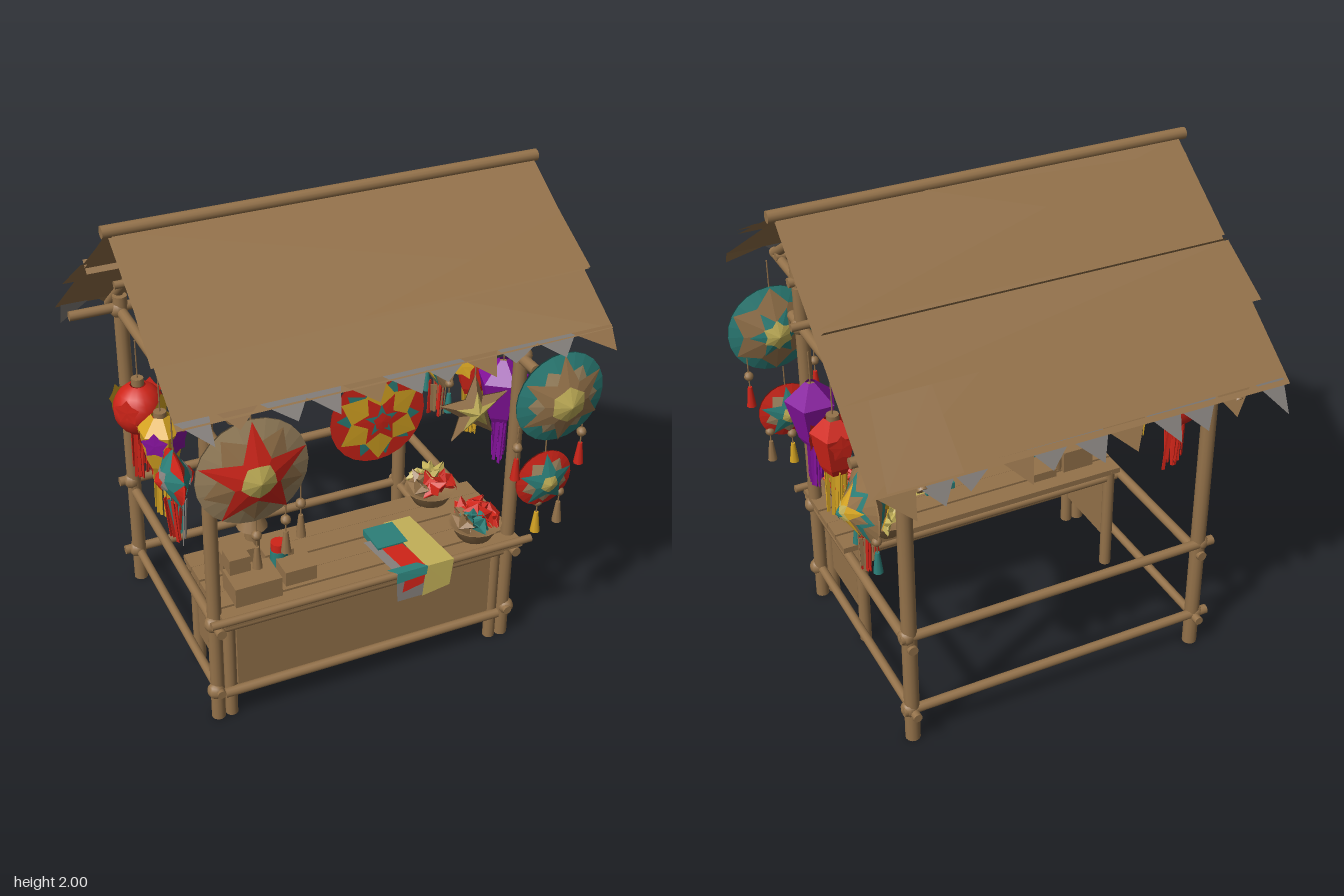
import * as THREE from 'three';

const mat = (name, color) => new THREE.MeshStandardMaterial({ name, color, side: THREE.DoubleSide });

export function createModel() {
  const M = {
    wood: mat('bamboo brown', 0x94724a), red: mat('red', 0xcf2418), teal: mat('teal', 0x2c7f78),
    gold: mat('gold', 0xd6a422), straw: mat('pale yellow', 0xc2b058), purple: mat('purple', 0x85129c),
    grey: mat('grey', 0x85807c), tan: mat('paper tan', 0x9d8560),
  };
  const root = new THREE.Group();
  root.name = 'lanternStall';
  let seed = 7;
  const rnd = () => (seed = (seed * 16807) % 2147483647) / 2147483647;
  const V = (x, y, z) => new THREE.Vector3(x, y, z);

  function add(name, geo, m, pos = [0, 0, 0], parent = root) {
    const o = new THREE.Mesh(geo, m);
    o.name = name;
    o.position.set(...pos);
    parent.add(o);
    return o;
  }
  function group(name, pos, parent = root) {
    const g = new THREE.Group();
    g.name = name;
    g.position.set(...pos);
    parent.add(g);
    return g;
  }
  function pole(name, a, b, r = 0.02, m = M.wood, parent = root) {
    const p = V(...a), q = V(...b), d = q.clone().sub(p);
    const o = add(name, new THREE.CylinderGeometry(r, r, d.length(), r < 0.01 ? 5 : 12), m, [0, 0, 0], parent);
    o.position.copy(p.add(q).multiplyScalar(0.5));
    o.quaternion.setFromUnitVectors(V(0, 1, 0), d.normalize());
    return o;
  }
  const box = (name, size, pos, m = M.wood, parent = root) => add(name, new THREE.BoxGeometry(...size), m, pos, parent);
  function facets(points) {
    const g = new THREE.BufferGeometry();
    g.setAttribute('position', new THREE.Float32BufferAttribute(points.flat(), 3));
    g.computeVertexNormals();
    return g;
  }
  // Thin sheet from corners in order
  const sheet = (name, c, m = M.wood) =>
    add(name, facets(c.length === 3 ? c : [c[0], c[1], c[2], c[0], c[2], c[3]]), m);

  // Posts, side rails, trusses and lashings
  for (const s of [-1, 1]) {
    const x = 0.63 * s;
    pole('frontPost', [x, 0, 0.42], [x, 1.5, 0.42], 0.028);
    pole('frontPostTop', [x, 1.42, 0.42], [x, 1.63, 0.45], 0.026);
    pole('backPost', [x, 0, -0.55], [x, 1.39, -0.55], 0.03);
    pole('lowerSideRail', [x, 0.142, 0.47], [x, 0.142, -0.61], 0.018);
    pole('middleSideRail', [x, 0.463, 0.5], [x, 0.463, -0.59]);
    pole('upperSideRail', [x, 1.322, 0.53], [x, 1.322, -0.58], 0.022);
    pole('tieBeam', [x, 1.525, 0.7], [x, 1.515, -0.41]);
    pole('kingPost', [x, 1.48, 0.09], [x, 1.92, 0.09], 0.024);
    pole('frontRafter', [x, 1.915, 0.09], [x, 1.52, 0.69]);
    pole('backRafter', [x, 1.925, 0.09], [x, 1.275, -0.72]);
    pole('innerRafter', [x * 0.35, 1.92, 0.09], [x * 0.35, 1.285, -0.7], 0.015);
    pole('innerFrontRafter', [x * 0.35, 1.905, 0.09], [x * 0.35, 1.53, 0.68], 0.015);
    for (const z of [0.42, 0.06]) pole('counterLeg', [0.575 * s, 0, z], [0.575 * s, 0.5, z], 0.025);
    for (const [y, z] of [[0.14, 0.43], [0.47, 0.43], [0.51, -0.55], [0.15, -0.55], [1.33, 0.42], [1.33, -0.55]])
      add('lashing', new THREE.SphereGeometry(0.035, 10, 8), M.wood, [x + 0.01 * s, y, z]);
    box('counterSide', [0.012, 0.29, 0.33], [0.575 * s, 0.28, 0.24]);
  }
  // Lengthwise rails and purlins: half length, y, z, radius
  for (const [name, h, y, z, r] of [
    ['ridgePole', 0.845, 1.975, 0.09, 0.023], ['frontEavePole', 0.66, 1.54, 0.62, 0.017],
    ['frontBeam', 0.68, 1.52, 0.43, 0.02], ['backBeam', 0.83, 1.34, -0.55, 0.02],
    ['backPurlin', 0.68, 1.515, -0.4, 0.016], ['upperBackRail', 0.68, 0.51, -0.56, 0.02],
    ['lowerBackRail', 0.68, 0.15, -0.56, 0.02], ['lowerFrontRail', 0.6, 0.13, 0.45, 0.02],
    ['upperFrontRail', 0.6, 0.455, 0.45, 0.02], ['counterBackRail', 0.6, 0.46, 0.06, 0.018],
  ]) pole(name, [-h - 0.01, y, z], [h - 0.01, y, z], r);
  pole('upperPurlin', [-0.68, 1.69, -0.19], [0.87, 1.69, -0.19], 0.015);

  // Counter
  box('counterFront', [1.1, 0.3, 0.014], [0, 0.29, 0.43]);
  for (let i = 0; i < 5; i++) box('counterSlat', [1.27, 0.025, 0.088], [0.02, 0.5 + (i % 2) * 0.004, 0.08 + i * 0.094]);
  pole('counterEdge', [-0.67, 0.518, 0.5], [0.69, 0.518, 0.5], 0.016);

  // Roof sheets
  sheet('frontRoof', [[-0.83, 1.95, 0.09], [-0.83, 1.54, 0.72], [0.82, 1.55, 0.71], [0.82, 1.95, 0.09]]);
  sheet('frontRoofOverlay', [[-0.82, 1.97, 0.09], [-0.855, 1.7, 0.57], [0.81, 1.71, 0.54], [0.82, 1.97, 0.09]]);
  sheet('frontRoofPatch', [[-0.1, 1.72, 0.56], [0.81, 1.72, 0.55], [0.81, 1.84, 0.33]]);
  sheet('backRoof', [[-0.82, 1.965, 0.09], [0.81, 1.965, 0.09], [0.82, 1.3, -0.73], [-0.85, 1.295, -0.73]]);
  sheet('backRoofOverlay', [[-0.82, 1.97, 0.08], [0.81, 1.97, 0.08], [0.8, 1.695, -0.255], [-0.84, 1.695, -0.255]]);
  sheet('backLowerOverlay', [[-0.84, 1.685, -0.28], [0.8, 1.685, -0.28], [0.81, 1.52, -0.48], [-0.87, 1.52, -0.48]]);
  sheet('roofLap', [[-0.83, 1.66, -0.245], [0.79, 1.66, -0.245], [0.79, 1.7, -0.29], [-0.83, 1.7, -0.29]]);
  sheet('backPatch', [[0.48, 1.525, -0.47], [0.71, 1.525, -0.47], [0.76, 1.31, -0.73], [0.48, 1.31, -0.73]]);
  sheet('loosePanel', [[-0.82, 1.93, 0.02], [0.25, 1.968, 0.065], [-0.82, 1.715, -0.25]]);
  // Ragged eaves
  for (let i = 0; i < 11; i++) {
    const x = -0.83 + i * 0.148, w = 0.12 + rnd() * 0.07, m = i % 3 === 1 ? M.wood : M.grey, k = 0.3 + 0.7 * rnd();
    const e = Math.min(x + w, 0.82);
    sheet('frontTatter', [[x, 1.56, 0.7], [x + w * k, 1.53 - 0.05 * k, 0.72 + 0.05 * k], [e, 1.56, 0.7]], m);
    sheet('backTatter', [[x, 1.315, -0.71], [x + w * (1 - k), 1.27 - 0.08 * k, -0.74 - 0.04 * k], [e, 1.315, -0.71]], m);
  }

  // Star of triangles: centre, tip and notch depths, on the given sides
  function starGeo(n, ro, ri, zc, zt, zi, rot = 0, sides = [1, -1]) {
    const p = [], at = (i, s) => {
      const a = Math.PI / 2 + rot + (i * Math.PI) / n, r = i % 2 ? ri : ro;
      return [Math.cos(a) * r, Math.sin(a) * r, s * (i % 2 ? zi : zt)];
    };
    for (const s of sides) for (let i = 0; i < 2 * n; i++)
      p.push([0, 0, s * zc], ...(s > 0 ? [at(i, s), at(i + 1, s)] : [at(i + 1, s), at(i, s)]));
    return facets(p);
  }
  // Lens-shaped lantern with layered stars per side: [material, points, tip, notch, turn]
  function lensLantern(name, pos, R, d, rim, front, back, top) {
    const g = group(name, pos);
    add('lensBody', starGeo(12, R, R, d, 0.003, 0.003), rim, [0, 0, 0], g);
    for (const [s, layers] of [[1, front], [-1, back]]) layers.forEach(([m, n, t, k, turn = 0], i) => {
      const o = 0.006 * (i + 1);
      add('paperStar', starGeo(n, R * t, R * k, d + o, d * (1 - t) + o, d * (1 - k) + o, turn, [s]), m, [0, 0, 0], g);
    });
    pole('hanger', [0, R * 0.95, 0], [0, top - pos[1], 0], 0.003, M.wood, g);
    return g;
  }
  const T = Math.PI / 5;
  const patchwork = [[M.teal, 7, 0.92, 0.6, 0.2], [M.wood, 7, 0.78, 0.45, 0.2], [M.gold, 5, 0.75, 0.3], [M.straw, 5, 0.35, 0.2, T],
    [M.teal, 4, 0.2, 0.1]];
  lensLantern('redStarLantern', [-0.53, 1.235, 0.6], 0.21, 0.075, M.tan,
    [[M.wood, 5, 0.92, 0.6, T], [M.red, 5, 0.99, 0.42], [M.straw, 5, 0.33, 0.29, T]], patchwork, 1.54);
  const flower = [[M.teal, 10, 0.9, 0.6, 0.2], [M.gold, 6, 0.93, 0.6], [M.red, 6, 0.58, 0.3, 0.5],
    [M.teal, 5, 0.36, 0.15], [M.red, 5, 0.2, 0.15]];
  lensLantern('patchworkLantern', [-0.01, 1.275, 0.51], 0.185, 0.012, M.red, flower, flower, 1.54);
  lensLantern('tealLantern', [0.69, 1.24, 0.61], 0.185, 0.075, M.teal,
    [[M.tan, 6, 0.8, 0.6, Math.PI / 6], [M.wood, 6, 0.98, 0.5], [M.straw, 6, 0.4, 0.35]],
    [[M.wood, 6, 0.98, 0.7], [M.teal, 6, 0.6, 0.3, 0.5], [M.straw, 6, 0.35, 0.25]], 1.54);
  const smallStar = [[M.tan, 5, 0.85, 0.6, T], [M.teal, 5, 0.97, 0.45], [M.straw, 5, 0.32, 0.27, T]];
  lensLantern('smallTealStarLantern', [0.67, 0.865, 0.58], 0.12, 0.045, M.red, smallStar, smallStar, 1.07);
  const side = lensLantern('sideLensLantern', [0.68, 0.955, -0.3], 0.135, 0.085, M.wood, patchwork, patchwork, 1.33);
  side.rotation.y = Math.PI / 2;
  side.scale.y = 1.14;
  const star = add('smallStar', starGeo(5, 0.145, 0.06, 0.045, 0.002, 0.002), M.wood, [0.33, 1.27, 0.6]);
  add('starPatch', starGeo(5, 0.085, 0.03, 0.05, 0.022, 0.032), M.straw, [0, 0, 0], star);
  pole('starHanger', [0.33, 1.4, 0.6], [0.33, 1.54, 0.6], 0.003);

  // Small bead-and-bell tassels
  for (const [x, y, z, m] of [[-0.52, 0.96, 0.6, M.wood], [-0.35, 1.05, 0.6, M.wood], [-0.4, 0.98, 0.58, M.wood],
    [0.53, 1.05, 0.6, M.red], [0.81, 1.05, 0.6, M.red], [0.75, 0.78, 0.58, M.wood], [0.66, 0.75, 0.57, M.gold],
    [0.68, 0.86, -0.2, M.teal], [0.68, 0.86, -0.4, M.teal]]) {
    const g = group('tassel', [x, y, z]);
    add('bead', new THREE.SphereGeometry(0.02, 8, 6), M.wood, [0, 0, 0], g);
    pole('cord', [0, 0.09, 0], [0, -0.06, 0], 0.003, M.wood, g);
    add('bell', new THREE.CylinderGeometry(0.009, 0.02, 0.09, 8), m, [0, -0.095, 0], g);
  }

  // Fringed lanterns hung along the side rails
  function fringe(g, top, len, mats) {
    for (let i = 0; i < 14; i++) {
      const a = i * 2.4, r = 0.015 + 0.025 * rnd(), l = len * (0.75 + 0.25 * rnd());
      const o = box('fringeStrip', [0.013, l, 0.004], [Math.cos(a) * r, top - l / 2, Math.sin(a) * r], mats[i % mats.length], g);
      o.rotation.set(0.12 * Math.sin(a), a, 0.1 * (rnd() - 0.5));
    }
  }
  function hanging(name, pos, profile, sides, m, mats, patches, reach) {
    const g = group(name, pos);
    let geo = new THREE.LatheGeometry(profile.map(([r, y]) => new THREE.Vector2(r, y)), sides);
    if (sides < 10) { geo = geo.toNonIndexed(); geo.computeVertexNormals(); }
    add('shade', geo, m, [0, 0, 0], g);
    add('cap', new THREE.CylinderGeometry(0.025, 0.025, 0.03, 10), M.wood, [0, 0.12, 0], g);
    pole('hanger', [0, 0.13, 0], [0, 1.33 - pos[1], 0], 0.003, M.wood, g);
    fringe(g, -0.1, 0.23, mats);
    patches.forEach((p, i) => {
      const a = ((i + 0.5) * 2 * Math.PI) / patches.length;
      const o = add('patch', starGeo(5, 0.055, 0.036, 0.004, 0.002, 0.002), p, [Math.sin(a) * reach, 0.03, Math.cos(a) * reach], g);
      o.rotation.y = a;
    });
  }
  const pointed = [[0.045, -0.125], [0.06, -0.1], [0.105, 0.07], [0.02, 0.15]];
  const faceted = [[0.045, -0.12], [0.06, -0.09], [0.092, 0.06], [0.035, 0.12]];
  const round = Array.from({ length: 11 }, (_, i) => [0.104 * Math.sin(0.3 + i * 0.254), -0.11 * Math.cos(0.3 + i * 0.254)]);
  hanging('purpleLantern', [0.68, 1.05, 0.22], pointed, 5, M.purple, [M.purple], [], 0);
  hanging('redLantern', [0.68, 1.05, -0.01], faceted, 5, M.red, [M.gold], [M.red, M.red, M.gold], 0.083);
  hanging('roundRedLantern', [-0.66, 1.03, -0.28], round, 16, M.red, [M.red], [M.gold, M.red, M.gold, M.red], 0.1);
  hanging('patchedLantern', [-0.66, 1.03, -0.01], faceted, 6, M.gold, [M.gold], [M.purple, M.red, M.red, M.red, M.purple], 0.083);
  fringe(group('lensFringe', [0.68, 0.82, -0.3]), 0, 0.17, [M.red, M.wood]);
  const sideStar = [[M.teal, 5, 1.15, 0.65], [M.grey, 5, 0.5, 0.35, T], [M.red, 5, 0.35, 0.25]];
  const turned = lensLantern('sideStarLantern', [-0.69, 1.02, 0.22], 0.11, 0.06, M.red, sideStar, sideStar, 1.33);
  turned.rotation.y = Math.PI / 2;
  fringe(turned, -0.09, 0.2, [M.red, M.grey, M.red, M.teal]);

  // Boxes, table lamp and jar on the counter
  box('crate', [0.19, 0.085, 0.14], [-0.45, 0.555, 0.36]);
  box('crate', [0.14, 0.1, 0.12], [-0.45, 0.56, 0.17]);
  box('smallBox', [0.085, 0.07, 0.08], [-0.49, 0.63, 0.3]);
  box('smallBox', [0.13, 0.07, 0.1], [-0.26, 0.545, 0.34]);
  box('flatBox', [0.12, 0.04, 0.12], [-0.28, 0.53, 0.16]);
  pole('lampStem', [-0.37, 0.51, 0.16], [-0.37, 0.69, 0.16], 0.03);
  add('lampShade', new THREE.CylinderGeometry(0.028, 0.062, 0.085, 14), M.wood, [-0.37, 0.71, 0.16]);
  pole('jar', [-0.3, 0.51, 0.26], [-0.3, 0.6, 0.26], 0.035, M.teal);
  pole('jarLid', [-0.3, 0.6, 0.26], [-0.3, 0.635, 0.26], 0.032, M.red);

  // Bowls filled with little paper stars
  const bowl = [[0, 0], [0.065, 0], [0.1, 0.065], [0.108, 0.07], [0.095, 0.065], [0, 0.03]].map(([r, y]) => new THREE.Vector2(r, y));
  for (const [x, z, fill] of [[0.5, 0.38, [M.red, M.teal, M.red, M.red, M.wood]], [0.45, 0.09, [M.straw, M.red, M.straw, M.red, M.wood]]]) {
    const g = group('bowl', [x, 0.505, z]);
    add('bowlShell', new THREE.LatheGeometry(bowl, 18), M.wood, [0, 0, 0], g);
    for (let i = 0; i < 11; i++) {
      const a = i * 2.4, r = 0.024 * Math.sqrt(i);
      const o = add('paperStar', starGeo(5, 0.06, 0.032, 0.035, 0.002, 0.002), fill[i % 5], [Math.cos(a) * r, 0.125 - r * 0.4, Math.sin(a) * r], g);
      o.rotation.set(rnd() * 2, rnd() * 3, rnd() * 2);
    }
  }

  // Cloths draped over the counter edge, and a folded one
  for (const [x, w, z0, low, m, tilt, lift] of [[0.15, 0.13, 0.28, 0.41, M.grey, 0, 0], [0.17, 0.09, 0.3, 0.45, M.red, 0.02, 0.003],
    [0.27, 0.12, 0.2, 0.41, M.straw, 0.02, 0.006], [0.15, 0.13, 0.49, 0.505, M.teal, 0.01, 0.009]]) {
    const top = 0.536 + lift, z = 0.518 + lift, l = x - w / 2, r = x + w / 2;
    sheet('clothTop', [[l - 0.03, top, z0], [l, top, z], [r, top, z], [r - 0.03, top, z0]], m);
    sheet('clothDrop', [[l, top, z], [l - tilt, low, z + 0.01], [r - tilt, low + tilt, z + 0.01], [r, top, z]], m);
  }
  box('foldedCloth', [0.13, 0.03, 0.14], [0.15, 0.53, 0.28], M.teal);
  return root;
}
